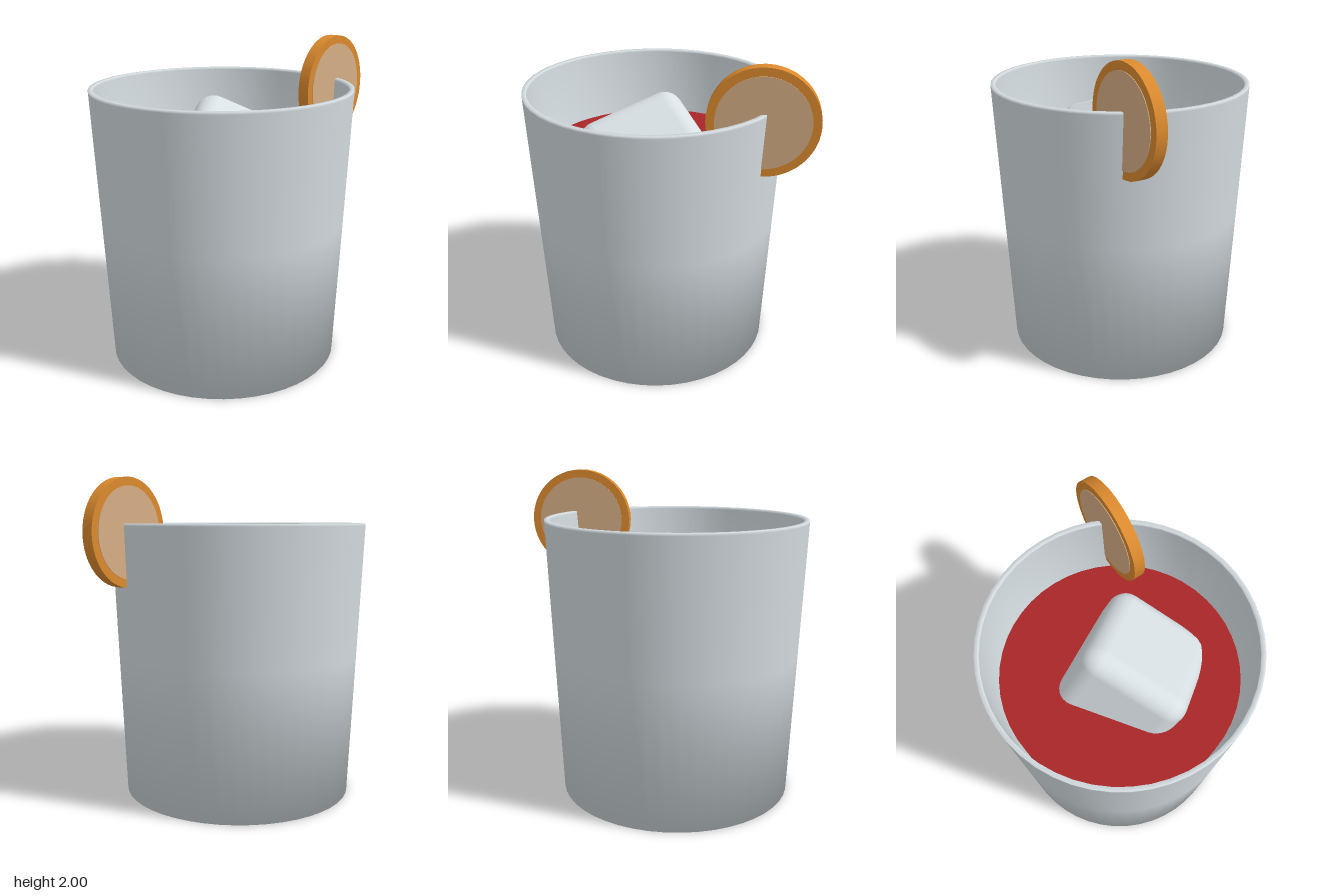
import * as THREE from 'three';
import { RoundedBoxGeometry } from 'three/addons/geometries/RoundedBoxGeometry.js';

function material(name, color) {
  const m = new THREE.MeshStandardMaterial({ color });
  m.name = name;
  return m;
}

export function createModel() {
  const group = new THREE.Group();
  group.name = 'drink';

  const glassMat = material('glass grey', 0xd4dce0);
  const iceMat = material('ice white', 0xd8e0e4);
  const liquidMat = material('drink red', 0xa82628);
  const peelMat = material('peel orange', 0xdc8a2e);
  const fleshMat = material('flesh tan', 0xd6ae86);

  const add = (name, geometry, mat, parent = group) => {
    const mesh = new THREE.Mesh(geometry, mat);
    mesh.name = name;
    parent.add(mesh);
    return mesh;
  };

  const axisX = -0.135;

  // Tumbler: tapered outer wall, thin rim, inner wall and floor
  const profile = [
    [0, 0], [0.73, 0], [0.769, 0.9], [0.804, 1.715], [0.803, 1.73],
    [0.777, 1.73], [0.775, 1.715], [0.67, 0.1], [0, 0.1],
  ].map(([r, y]) => new THREE.Vector2(r, y));
  add('tumbler', new THREE.LatheGeometry(profile, 48), glassMat).position.x = axisX;

  // Liquid filling the tumbler
  const liquid = add('liquid', new THREE.CylinderGeometry(0.728, 0.655, 1.19, 48), liquidMat);
  liquid.position.set(axisX, 0.705, 0);

  // Large ice cube, floating tilted with one corner up
  const ice = add('iceCube', new RoundedBoxGeometry(0.7, 0.7, 0.7, 4, 0.12), iceMat);
  const up = new THREE.Vector3(0.205, 0.866, 0.455).normalize();
  const side = new THREE.Vector3(0.83, -0.4, 0.385);
  side.addScaledVector(up, -side.dot(up)).normalize();
  const front = new THREE.Vector3().crossVectors(side, up);
  ice.quaternion.setFromRotationMatrix(new THREE.Matrix4().makeBasis(side, up, front));
  ice.position.set(-0.12, 1.17, 0.055);

  // Citrus slice hung on the rim: peel disc with flesh standing slightly proud
  const slice = new THREE.Group();
  slice.name = 'citrusSlice';
  const disc = (name, radius, thickness, mat) =>
    add(name, new THREE.CylinderGeometry(radius, radius, thickness, 48).rotateX(Math.PI / 2), mat, slice);
  disc('peel', 0.325, 0.07, peelMat);
  disc('flesh', 0.275, 0.078, fleshMat);
  slice.position.set(0.633, 1.675, 0);
  slice.rotation.y = 0.49;
  group.add(slice);

  return group;
}
